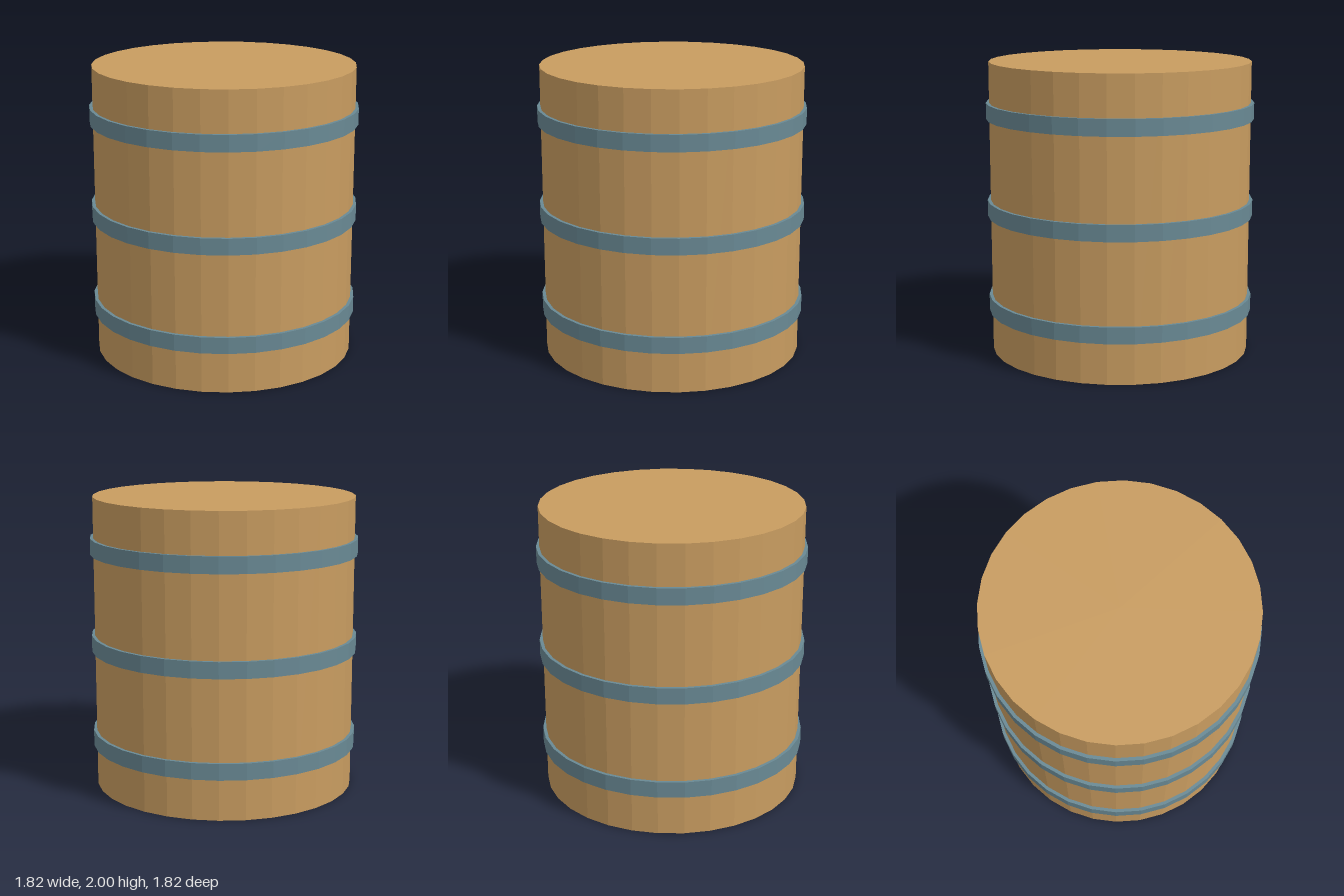
import * as THREE from 'three';

const SIDES = 32;
const BODY_RADIUS = 0.889;
const BAND_RADIUS = 0.911;
const BAND_HEIGHT = 0.111;

export function createModel() {
  const model = new THREE.Group();
  model.name = 'barrel';

  const wood = new THREE.MeshStandardMaterial({ color: 0xc89c60, flatShading: true });
  wood.name = 'wood';
  const steel = new THREE.MeshStandardMaterial({ color: 0x698994, flatShading: true });
  steel.name = 'blue grey steel';

  // Straight-sided wooden body with closed ends
  const body = new THREE.Mesh(new THREE.CylinderGeometry(BODY_RADIUS, BODY_RADIUS, 2, SIDES), wood);
  body.name = 'body';
  body.position.y = 1;
  model.add(body);

  // Three equally spaced hoops around the body
  const hoopGeometry = new THREE.CylinderGeometry(BAND_RADIUS, BAND_RADIUS, BAND_HEIGHT, SIDES);
  ['lowerHoop', 'middleHoop', 'upperHoop'].forEach((name, i) => {
    const hoop = new THREE.Mesh(hoopGeometry, steel);
    hoop.name = name;
    hoop.position.y = (1 + 2 * i) / 3;
    model.add(hoop);
  });

  return model;
}
